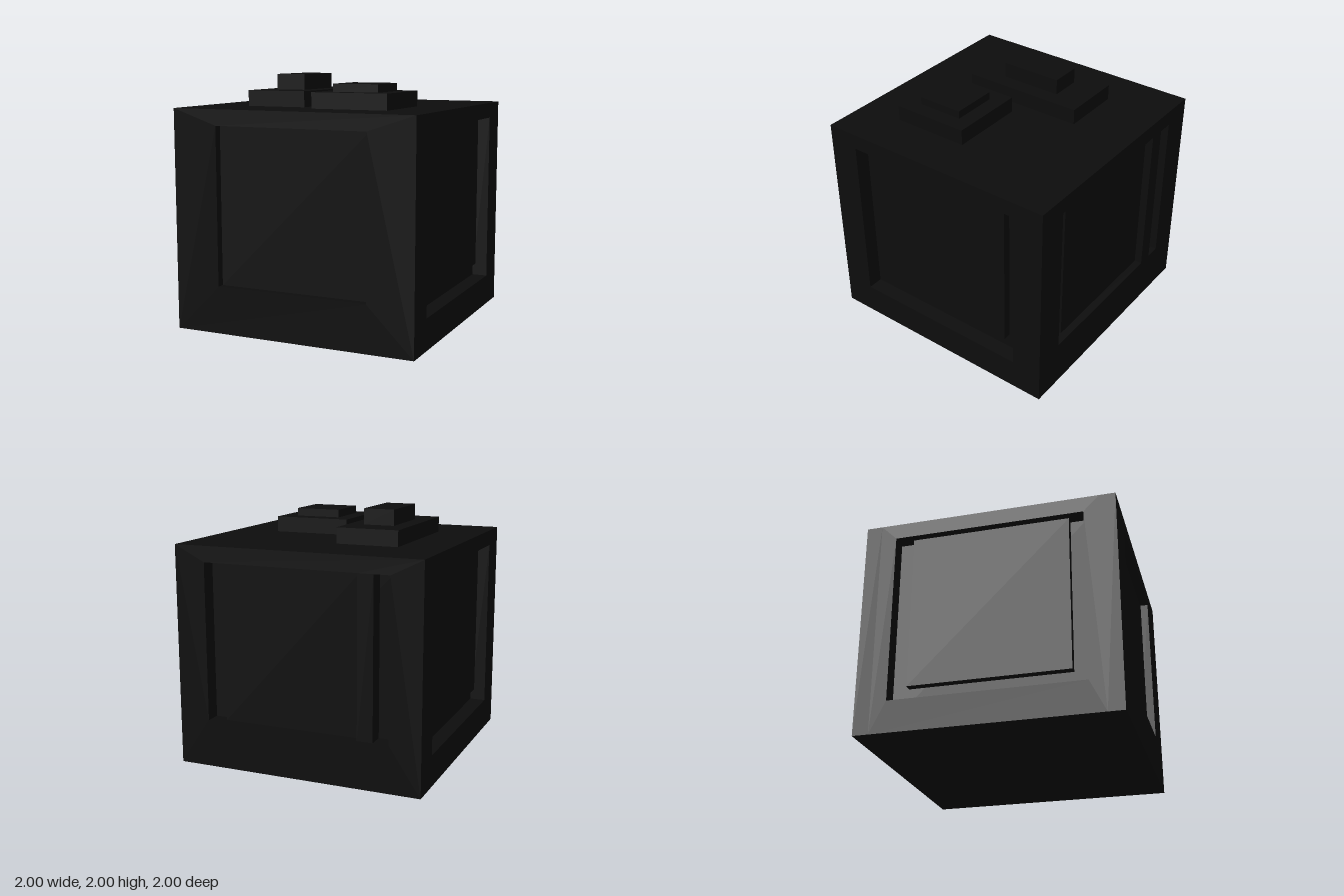
import * as THREE from 'three';

const black = new THREE.MeshStandardMaterial({ color: 0x0d0d0d });
black.name = 'black';

const WALL = 0.125; // wall thickness, and depth of the open recesses
const STEP = 0.0625; // how far the inset panels stand out of the recesses
const TOP = 1.75;

// Box given by its lower and upper corners
function box(name, [x0, y0, z0], [x1, y1, z1]) {
  const mesh = new THREE.Mesh(new THREE.BoxGeometry(x1 - x0, y1 - y0, z1 - z0), black);
  mesh.position.set((x0 + x1) / 2, (y0 + y1) / 2, (z0 + z1) / 2);
  mesh.name = name;
  return mesh;
}

function rectangle(target, [x0, y0, x1, y1]) {
  target.moveTo(x0, y0);
  target.lineTo(x1, y0);
  target.lineTo(x1, y1);
  target.lineTo(x0, y1);
  target.closePath();
  return target;
}

// One side of the block: a wall with openings and an inset panel, turned about y
function side(name, width, openings, panel, angle) {
  const group = new THREE.Group();
  group.name = name;
  const shape = rectangle(new THREE.Shape(), [-width / 2, 0, width / 2, TOP]);
  for (const o of openings) shape.holes.push(rectangle(new THREE.Path(), o));
  const wall = new THREE.Mesh(
    new THREE.ExtrudeGeometry(shape, { depth: WALL, bevelEnabled: false }), black);
  wall.position.z = 1 - WALL;
  wall.name = name + 'Frame';
  const [x0, y0, x1, y1] = panel;
  group.add(wall, box(name + 'Panel', [x0, y0, 1 - WALL], [x1, y1, 1 - STEP]));
  group.rotation.y = angle;
  return group;
}

export function createModel() {
  const model = new THREE.Group();
  model.name = 'panelledBlock';

  // Solid core behind the four walls
  const c = 1 - WALL;
  model.add(box('core', [-c, 0, -c], [c, TOP, c]));

  // Front and back walls span the full width
  const square = [-0.625, 0.375, 0.625, 1.625];
  model.add(side('front', 2, [square], square, 0));
  model.add(side('back', 2,
    [[-0.75, 0.375, 0.5, 1.625], [0.625, 0.375, 0.75, 1.625]],
    [-0.625, 0.375, 0.5, 1.625], Math.PI));

  // Left and right walls fit between them
  for (const [name, sign] of [['left', 1], ['right', -1]]) {
    model.add(side(name, 2 * c, [[-0.75, 0.25, 0.75, 1.625]], square, sign * Math.PI / 2));
  }

  // Two stepped blocks on the top
  model.add(
    box('longTopBase', [-0.625, TOP, -0.5], [-0.125, 1.875, 0.5]),
    box('longTopCap', [-0.5, 1.875, -0.25], [-0.25, 2, 0.25]),
    box('squareTopBase', [0, TOP, 0], [0.625, 1.875, 0.625]),
    box('squareTopCap', [0.125, 1.875, 0.125], [0.5, 1.9375, 0.5]));

  return model;
}
